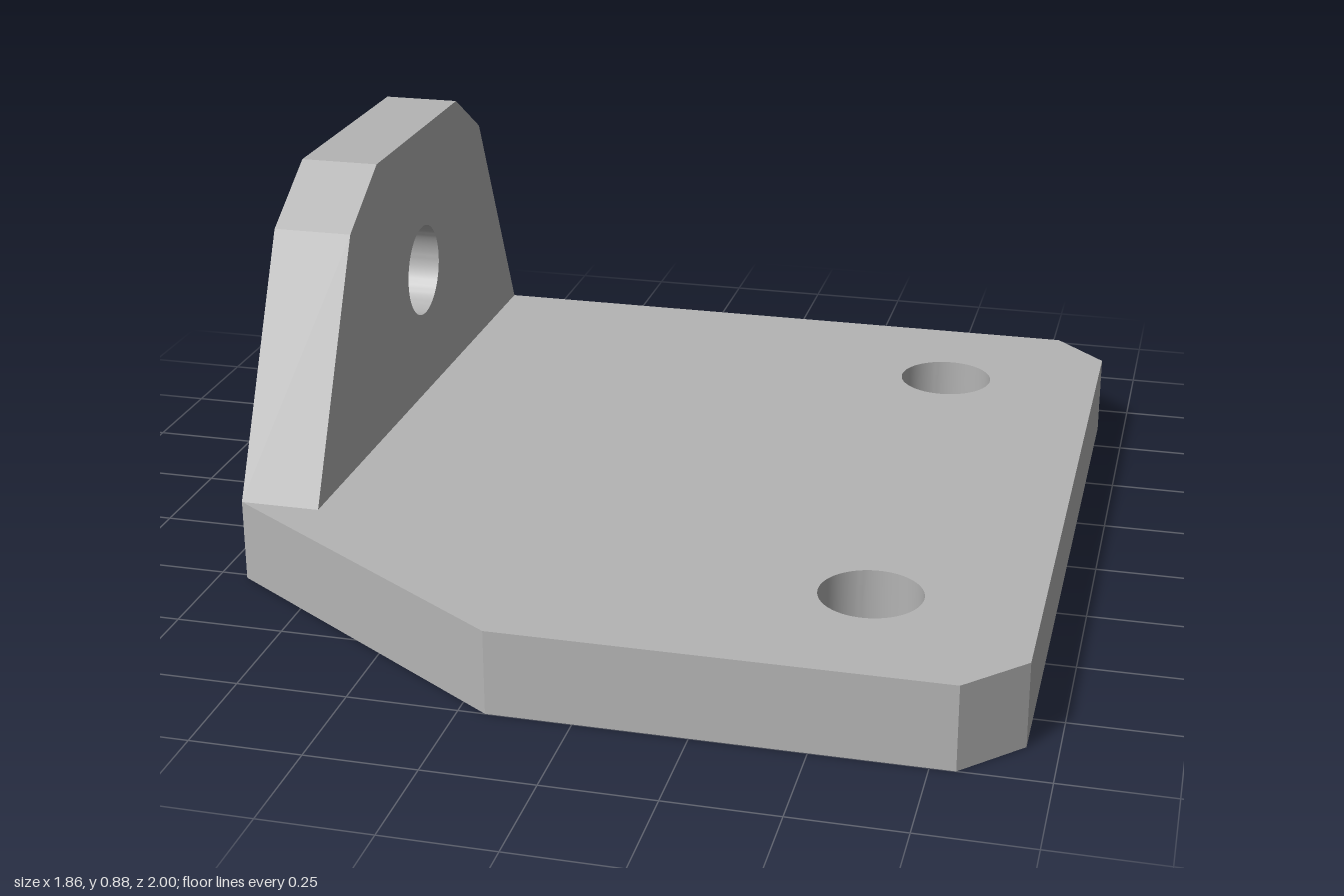
import * as THREE from 'three';
import { toCreasedNormals } from 'three/addons/utils/BufferGeometryUtils.js';

const HOLE_RADIUS = 0.115;
const BASE_HEIGHT = 0.195;

// Flat slab cut from an outline, with round bolt holes through it
function drilledSlab(outline, holes, depth) {
  const shape = new THREE.Shape(outline.map(([x, y]) => new THREE.Vector2(x, y)));
  for (const [x, y] of holes) {
    const hole = new THREE.Path();
    hole.absarc(x, y, HOLE_RADIUS, 0, Math.PI * 2, true);
    shape.holes.push(hole);
  }
  return new THREE.ExtrudeGeometry(shape, { depth, bevelEnabled: false, curveSegments: 40 });
}

export function createModel() {
  const group = new THREE.Group();
  group.name = 'mountingBracket';
  const metal = new THREE.MeshStandardMaterial({ color: 0xb4b4b4 });
  metal.name = 'greyMetal';

  function add(name, geometry) {
    const mesh = new THREE.Mesh(toCreasedNormals(geometry, 0.3), metal);
    mesh.name = name;
    group.add(mesh);
  }

  // Base plate: outline in (x, -z), laid flat
  const base = drilledSlab(
    [[-0.932, -0.515], [-0.19, -1], [0.805, -1], [0.932, -0.87],
      [0.932, 0.87], [0.805, 1], [-0.932, 1]],
    [[0.545, 0.65], [0.565, -0.64]],
    BASE_HEIGHT
  );
  base.rotateX(-Math.PI / 2);
  add('basePlate', base);

  // Upright lug: outline in (-z, y), standing along the right edge
  const lug = drilledSlab(
    [[-0.515, BASE_HEIGHT], [1, BASE_HEIGHT], [0.73, 0.77], [0.55, 0.885],
      [-0.04, 0.885], [-0.23, 0.77]],
    [[0.257, 0.52]],
    0.188
  );
  lug.rotateY(Math.PI / 2);
  lug.translate(-0.932, 0, 0);
  add('uprightLug', lug);

  return group;
}
